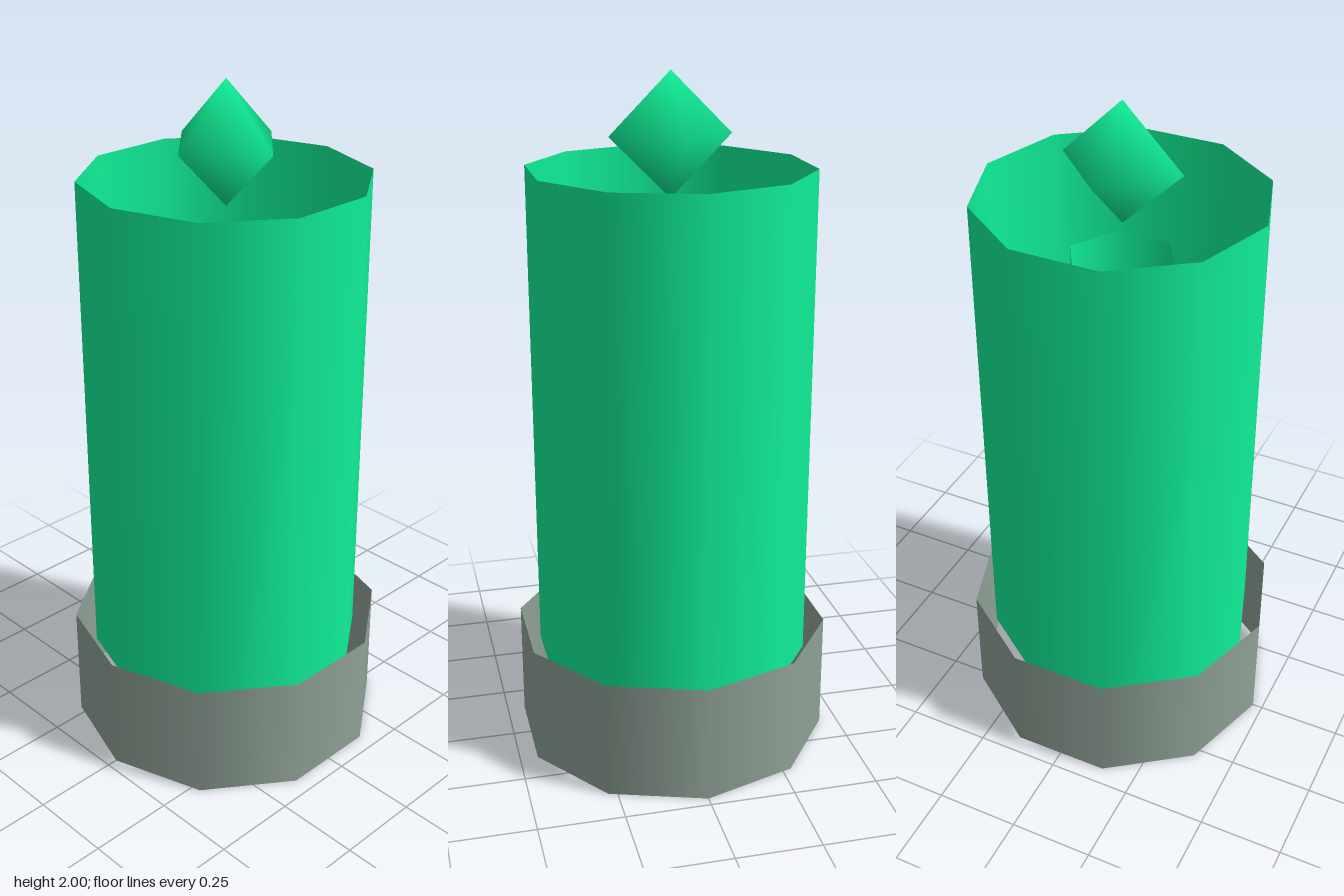
import * as THREE from 'three';

const material = (color) => new THREE.MeshStandardMaterial({ color, side: THREE.DoubleSide });

// Open-ended tube standing between two heights, with a corner on the x axis
function openTube(name, radius, sides, bottom, top, mat) {
  const geometry = new THREE.CylinderGeometry(radius, radius, top - bottom, sides, 1, true);
  geometry.rotateY(Math.PI / 2);
  geometry.translate(0, (bottom + top) / 2, 0);
  const mesh = new THREE.Mesh(geometry, mat);
  mesh.name = name;
  return mesh;
}

export function createModel() {
  const group = new THREE.Group();
  group.name = 'crystalTube';
  const green = material(0x10f098);
  const grey = material(0x8fa297);

  // Wide collar, tall outer tube and slim inner tube
  group.add(openTube('baseCollar', 0.47, 10, 0, 0.355, grey));
  group.add(openTube('outerTube', 0.41, 10, 0.26, 1.737, green));
  group.add(openTube('innerTube', 0.16, 6, 0.46, 1.54, green));

  // Smooth-shaded octahedral gem floating at the mouth
  const gem = new THREE.Mesh(new THREE.SphereGeometry(0.175, 4, 2), green);
  gem.name = 'gem';
  gem.position.y = 1.825;
  group.add(gem);

  return group;
}
